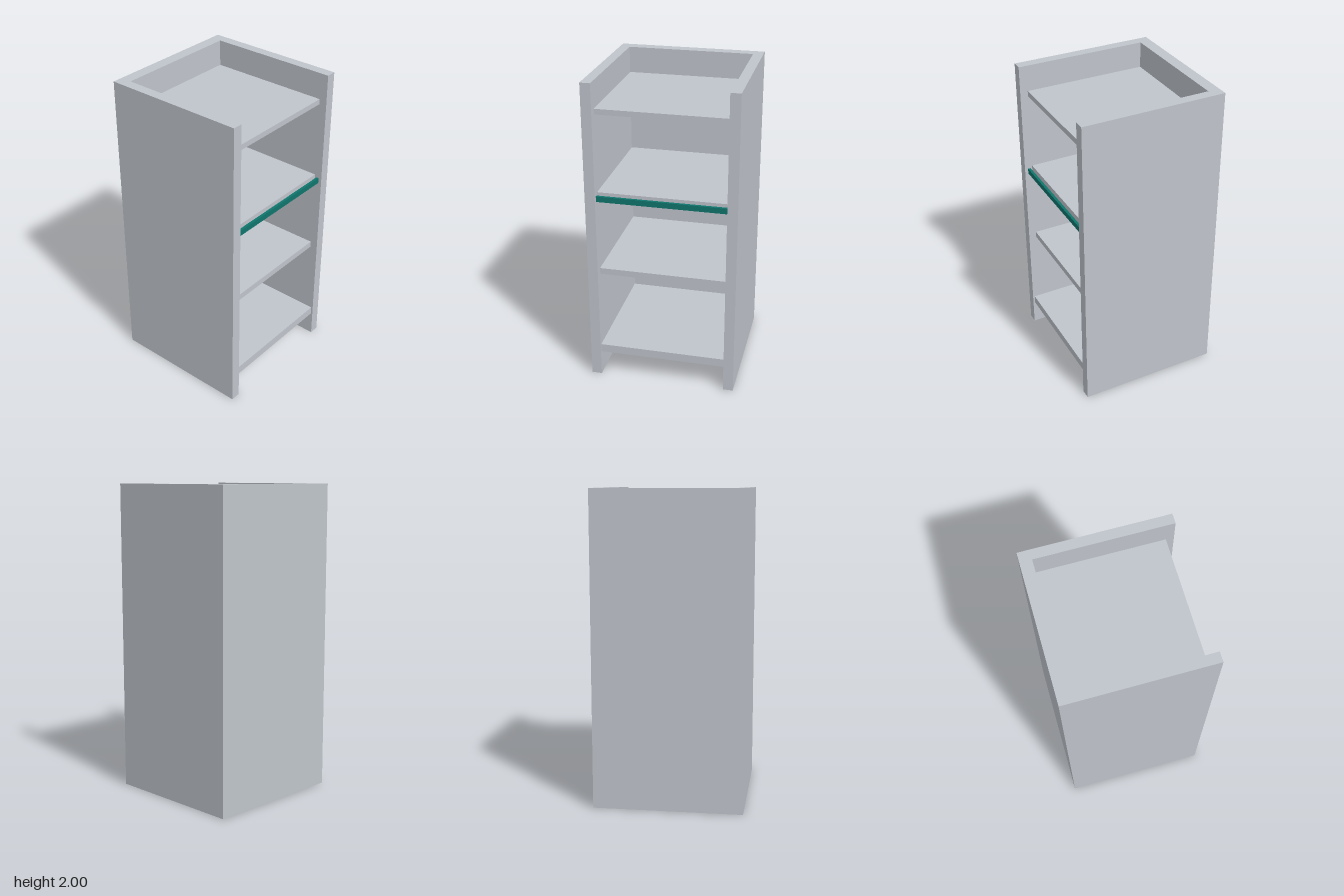
import * as THREE from 'three';

const HALF_W = 0.475, INNER_W = 0.41;
const BACK = -0.4625, INNER_BACK = -0.387, FRONT = 0.4625;

export function createModel() {
  const group = new THREE.Group();
  const grey = new THREE.MeshStandardMaterial({ name: 'panelGrey', color: 0xc0c5cc });
  const teal = new THREE.MeshStandardMaterial({ name: 'stripTeal', color: 0x0f766e });

  const add = (name, geometry, material) => {
    const mesh = new THREE.Mesh(geometry, material);
    mesh.name = name;
    group.add(mesh);
  };
  // Board spanning the inside width, from its y and z limits
  const board = (name, y0, y1, z0, z1, material) =>
    add(name, new THREE.BoxGeometry(2 * INNER_W, y1 - y0, z1 - z0)
      .translate(0, (y0 + y1) / 2, (z0 + z1) / 2), material);

  // Seamless U-shaped carcass: two sides and a back, open at top and bottom
  const outline = [
    [-HALF_W, FRONT], [-INNER_W, FRONT], [-INNER_W, INNER_BACK], [INNER_W, INNER_BACK],
    [INNER_W, FRONT], [HALF_W, FRONT], [HALF_W, BACK], [-HALF_W, BACK],
  ].map(([x, z]) => new THREE.Vector2(x, -z));
  const carcass = new THREE.ExtrudeGeometry(new THREE.Shape(outline), { depth: 2, bevelEnabled: false });
  add('carcass', carcass.rotateX(-Math.PI / 2), grey);

  // Shelves: bottom y, top y, front z
  [
    ['baseShelf', 0.165, 0.22, 0.45],
    ['lowerShelf', 0.727, 0.768, 0.412],
    ['middleShelf', 1.255, 1.295, 0.412],
    ['topShelf', 1.795, 1.83, 0.412],
  ].forEach(([name, y0, y1, front]) => board(name, y0, y1, INNER_BACK, front, grey));

  // Coloured strip standing just ahead of the middle shelf
  board('accentStrip', 1.242, 1.278, 0.424, 0.441, teal);

  return group;
}
